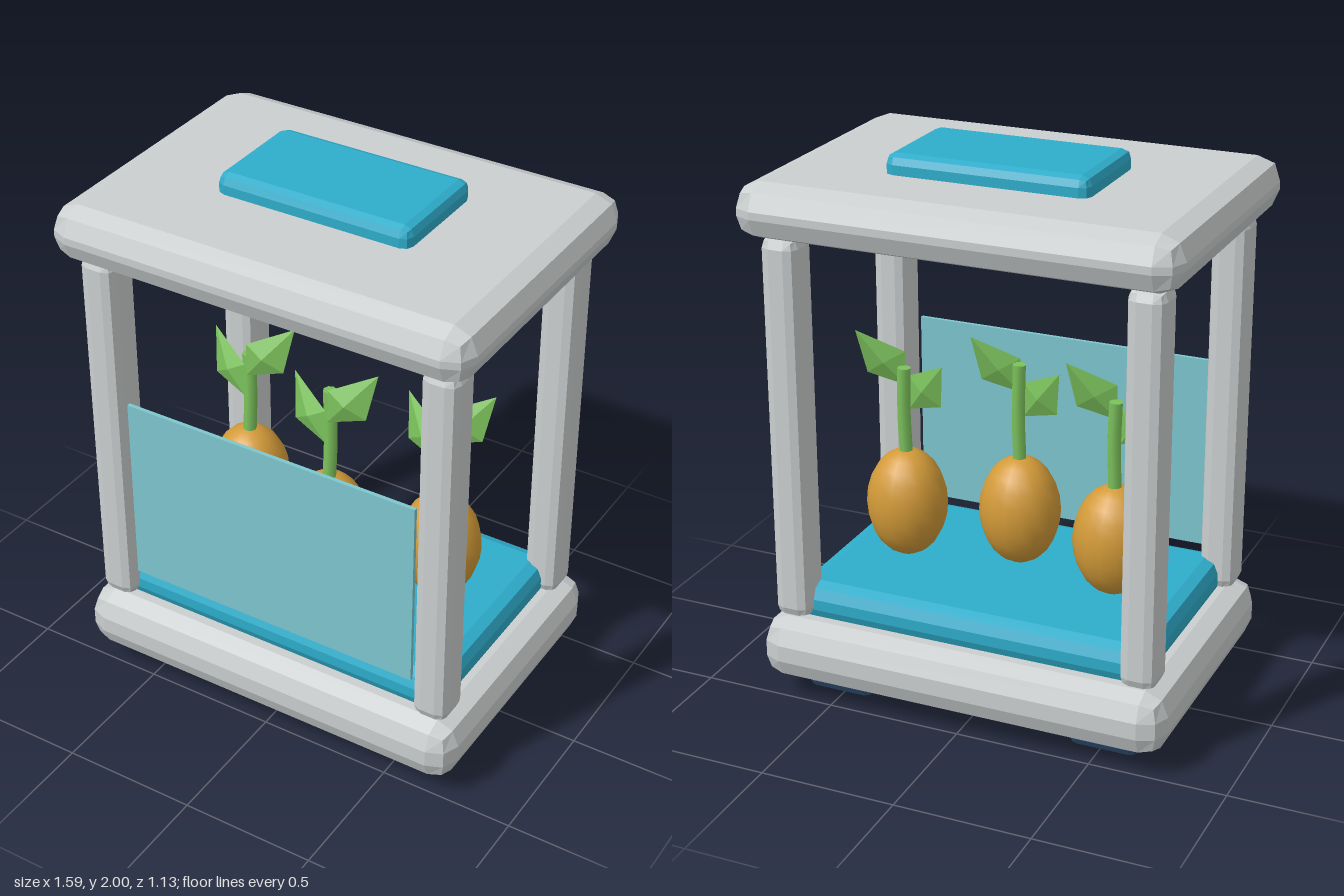
import * as THREE from 'three';
import { RoundedBoxGeometry } from 'three/addons/geometries/RoundedBoxGeometry.js';

function material(name, color, extra = {}) {
  const m = new THREE.MeshStandardMaterial({ color, ...extra });
  m.name = name;
  return m;
}

export function createModel() {
  const model = new THREE.Group();
  model.name = 'plantDisplayCase';

  const grey = material('light grey frame', 0xcbcfcf);
  const teal = material('teal plastic', 0x2eadcb);
  const glass = material('pale teal glass', 0x7dc6ce);
  const navy = material('navy rubber', 0x2c4a6c);
  const amber = material('amber bulb', 0xd29a38);
  const green = material('leaf green', 0x7cc25c, { side: THREE.DoubleSide });

  function add(parent, name, geometry, mat, x = 0, y = 0, z = 0) {
    const mesh = new THREE.Mesh(geometry, mat);
    mesh.name = name;
    mesh.position.set(x, y, z);
    parent.add(mesh);
    return mesh;
  }

  // Box with two-step bevelled edges and flat facets
  function bevelBox(name, size, radius, mat, x, y, z) {
    const g = new RoundedBoxGeometry(size[0], size[1], size[2], 1, radius);
    g.computeVertexNormals();
    return add(model, name, g, mat, x, y, z);
  }

  // Case: base, roof, lid plate and planting tray
  bevelBox('base', [1.54, 0.232, 1.085], 0.085, grey, 0, 0.191, 0);
  bevelBox('roof', [1.585, 0.197, 1.13], 0.085, grey, 0, 1.832, 0);
  bevelBox('lidPlate', [0.74, 0.12, 0.42], 0.035, teal, 0, 1.94, -0.035);
  bevelBox('tray', [1.34, 0.15, 0.87], 0.055, teal, 0, 0.357, 0);

  // Feet and corner posts
  for (const sx of [-1, 1]) {
    bevelBox('foot', [0.255, 0.11, 0.825], 0.03, navy, sx * 0.513, 0.055, 0);
    for (const sz of [-1, 1]) {
      bevelBox('cornerPost', [0.135, 1.425, 0.15], 0.04, grey, sx * 0.658, 1.024, sz * 0.413);
    }
  }

  // Front pane
  add(model, 'frontPane', new THREE.BoxGeometry(1.15, 0.73, 0.015), glass, 0, 0.8, 0.45);

  // Leaf: four-cornered outline with a raised middle on both faces
  function leafGeometry(side) {
    const rim = [[0.005, 0.0, 0.015], [0.17, 0.08, -0.05], [0.145, -0.09, -0.01], [0.005, -0.13, 0.02]];
    const middles = [[0.075, -0.04, 0.025], [0.075, -0.04, -0.025]];
    const points = [];
    middles.forEach((mid, face) => {
      for (let i = 0; i < 4; i++) {
        const a = rim[i], b = rim[(i + 1) % 4];
        const flip = (face === 0) === (side > 0);
        for (const p of flip ? [mid, b, a] : [mid, a, b]) points.push(p[0] * side, p[1], p[2]);
      }
    });
    const g = new THREE.BufferGeometry();
    g.setAttribute('position', new THREE.Float32BufferAttribute(points, 3));
    g.computeVertexNormals();
    return g;
  }

  // Sprouting bulbs
  for (const [x, z, top] of [[-0.405, -0.04, 1.16], [0, 0.06, 1.2], [0.405, -0.04, 1.16]]) {
    const plant = new THREE.Group();
    plant.name = 'plant';
    plant.position.set(x, 0, z);
    model.add(plant);

    const bulb = add(plant, 'bulb', new THREE.SphereGeometry(1, 16, 12), amber, 0, 0.637, 0);
    bulb.scale.set(0.15, 0.207, 0.143);

    const path = new THREE.CatmullRomCurve3([
      new THREE.Vector3(0, 0.8, 0),
      new THREE.Vector3(0.005, 1.0, -0.005),
      new THREE.Vector3(0, top, -0.008),
    ]);
    add(plant, 'stem', new THREE.TubeGeometry(path, 6, 0.025, 8), green);
    add(plant, 'stemTip', new THREE.CircleGeometry(0.025, 8), green, 0, top, -0.008).rotation.x = -Math.PI / 2;

    add(plant, 'upperLeaf', leafGeometry(1), green, 0, 1.212, 0);
    add(plant, 'lowerLeaf', leafGeometry(-1), green, 0, 1.122, 0);
  }

  return model;
}
